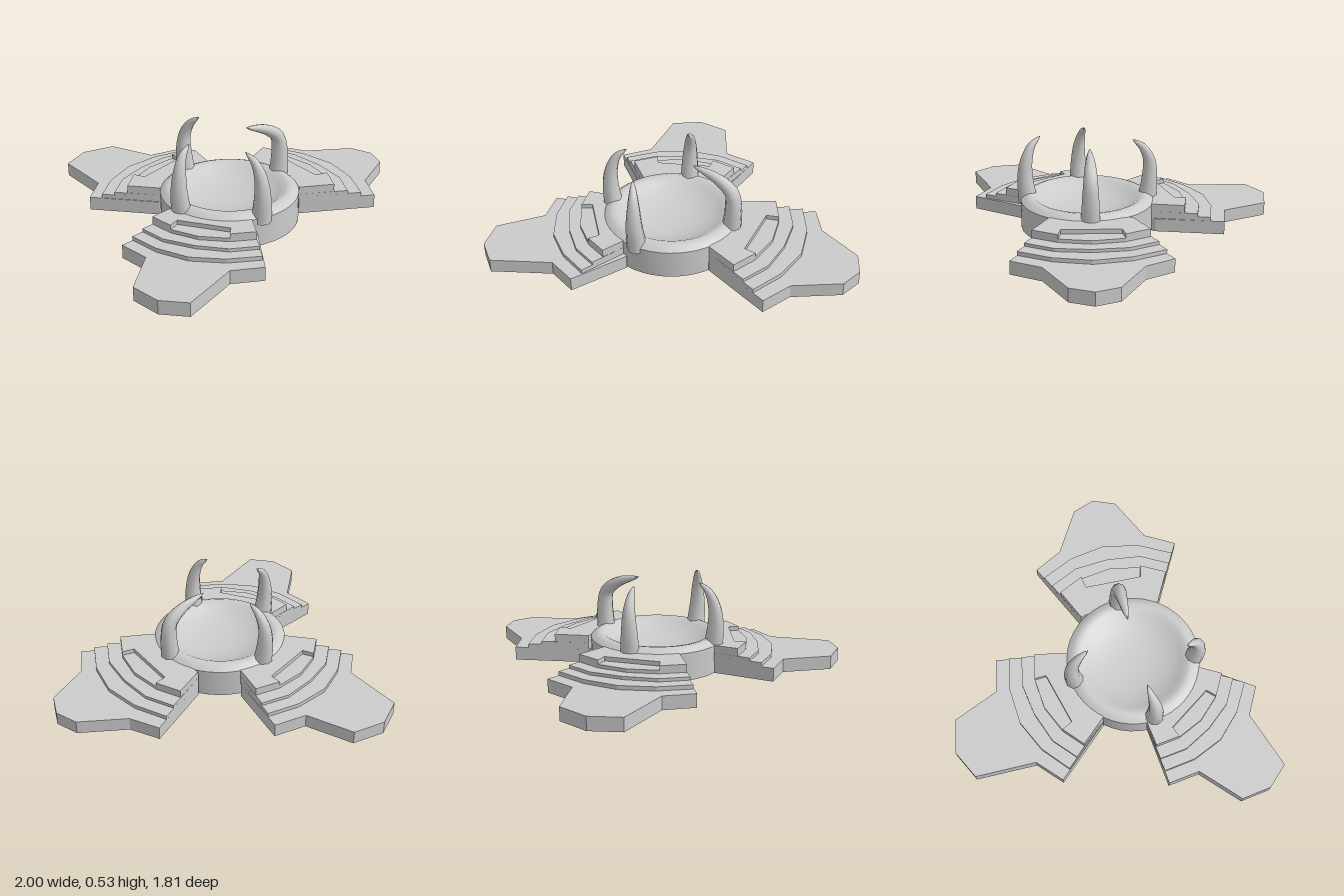
import * as THREE from 'three';
import { toCreasedNormals } from 'three/addons/utils/BufferGeometryUtils.js';

const stone = new THREE.MeshStandardMaterial({ color: 0xcccccc });

function add(parent, name, geometry) {
  const mesh = new THREE.Mesh(geometry, stone);
  mesh.name = name;
  parent.add(mesh);
  return mesh;
}

// Flat slab from a plan outline of [x, z] points
function slab(points, y0, y1) {
  const shape = new THREE.Shape(points.map(([x, z]) => new THREE.Vector2(x, -z)));
  const g = new THREE.ExtrudeGeometry(shape, { depth: y1 - y0, bevelEnabled: false });
  return g.rotateX(-Math.PI / 2).translate(0, y0, 0);
}

// Half outline (v >= 0) mirrored into a closed outline; first and last points lie on the axis
const mirrored = (half) => [...half, ...half.slice(1, -1).reverse().map(([u, v]) => [u, -v])];

// Tapered horn swept along a curve
function horn(points, radius) {
  const curve = new THREE.CatmullRomCurve3(points.map((p) => new THREE.Vector3(...p)));
  const rings = 16, sides = 9;
  const g = new THREE.TubeGeometry(curve, rings, radius, sides, false);
  const pos = g.attributes.position, v = new THREE.Vector3();
  for (let i = 0; i <= rings; i++) {
    const t = i / rings, c = curve.getPointAt(t);
    const taper = Math.max(0.01, Math.pow(1 - t, 0.65) * (1 + 0.25 * t));
    for (let j = 0; j <= sides; j++) {
      const k = i * (sides + 1) + j;
      v.fromBufferAttribute(pos, k).sub(c).multiplyScalar(taper).add(c);
      pos.setXYZ(k, v.x, v.y, v.z);
    }
  }
  g.computeVertexNormals();
  return toCreasedNormals(g, 0.9);
}

export function createModel() {
  const model = new THREE.Group();
  const altar = new THREE.Group();
  altar.name = 'altar';
  model.add(altar);

  // Round centre with a raised rim and a shallow bowl
  const profile = [
    [0, 0], [0.385, 0], [0.385, 0.16], [0.36, 0.18], [0.335, 0.19], [0.31, 0.185],
    [0.28, 0.165], [0.23, 0.14], [0.16, 0.12], [0.08, 0.111], [0, 0.108],
  ].map(([x, y]) => new THREE.Vector2(x, y));
  const bowl = add(altar, 'bowl', toCreasedNormals(new THREE.LatheGeometry(profile, 48), 0.6));
  bowl.position.set(-0.1, 0, 0.19);

  // Three stepped arms: base outline plus the frame of its steps
  const arms = [
    {
      name: 'leftArm', mid: [0.61, 0.18], angle: 0, scale: 1,
      base: [[0.1, 0.18], [0.22, -0.05], [0.61, -0.25], [0.7, -0.09], [0.95, 0.05], [1, 0.18],
        [0.95, 0.31], [0.7, 0.44], [0.61, 0.61], [0.22, 0.41]],
    },
    {
      name: 'backArm', mid: [-0.3, -0.465], angle: 107, scale: 0.95,
      base: [[-0.15, 0.05], [-0.41, -0.05], [-0.69, -0.34], [-0.56, -0.47], [-0.57, -0.82],
        [-0.41, -0.91], [-0.22, -0.88], [-0.1, -0.62], [0.09, -0.59], [0.03, -0.2]],
    },
    {
      name: 'rightArm', mid: [-0.605, 0.55], angle: 216, scale: 0.89,
      base: [[-0.25, 0.3], [-0.2, 0.57], [-0.38, 0.86], [-0.54, 0.78], [-0.86, 0.9], [-0.97, 0.79],
        [-1, 0.62], [-0.8, 0.42], [-0.83, 0.24], [-0.47, 0.19]],
    },
  ];

  // Steps from the lowest up; the top one has a notch at its middle
  const inner = [[-0.34, 0], [-0.39, 0.23]];
  const steps = [
    { top: 0.1, half: [...inner, [-0.07, 0.394], [0.02, 0.21], [0.06, 0]] },
    { top: 0.118, half: [...inner, [-0.14, 0.358], [-0.06, 0.2], [-0.04, 0]] },
    { top: 0.138, half: [...inner, [-0.21, 0.32], [-0.14, 0.18], [-0.11, 0]] },
    { top: 0.163, half: [...inner, [-0.21, 0.32], [-0.14, 0.18], [-0.21, 0.165], [-0.21, 0]] },
  ];

  for (const { name, mid, angle, scale, base } of arms) {
    const arm = new THREE.Group();
    arm.name = name;
    altar.add(arm);
    add(arm, 'armBase', slab(base, 0, 0.077));
    const stair = new THREE.Group();
    stair.name = 'steps';
    stair.position.set(mid[0], 0, mid[1]);
    stair.rotation.y = THREE.MathUtils.degToRad(angle);
    stair.scale.set(scale, 1, scale);
    arm.add(stair);
    let y = 0.07;
    for (const { top, half } of steps) {
      add(stair, 'step', slab(mirrored(half), y, top));
      y = top;
    }
  }

  // Four horns curling in over the bowl
  const horns = {
    leftHorn: [[0.255, 0.13, 0.18], [0.265, 0.28, 0.18], [0.25, 0.38, 0.18], [0.17, 0.445, 0.18], [0.02, 0.495, 0.18]],
    backHorn: [[-0.15, 0.13, -0.16], [-0.155, 0.28, -0.175], [-0.15, 0.38, -0.17], [-0.135, 0.46, -0.13], [-0.115, 0.51, -0.07]],
    rightHorn: [[-0.45, 0.13, 0.235], [-0.465, 0.28, 0.235], [-0.455, 0.38, 0.23], [-0.425, 0.46, 0.215], [-0.37, 0.51, 0.2]],
    frontHorn: [[-0.15, 0.13, 0.535], [-0.155, 0.28, 0.55], [-0.16, 0.38, 0.54], [-0.175, 0.46, 0.51], [-0.2, 0.51, 0.46]],
  };
  for (const [name, points] of Object.entries(horns)) add(altar, name, horn(points, 0.056));

  // Slight lean of the whole piece
  altar.rotation.x = -0.011;
  altar.position.y = 0.01;
  return model;
}
